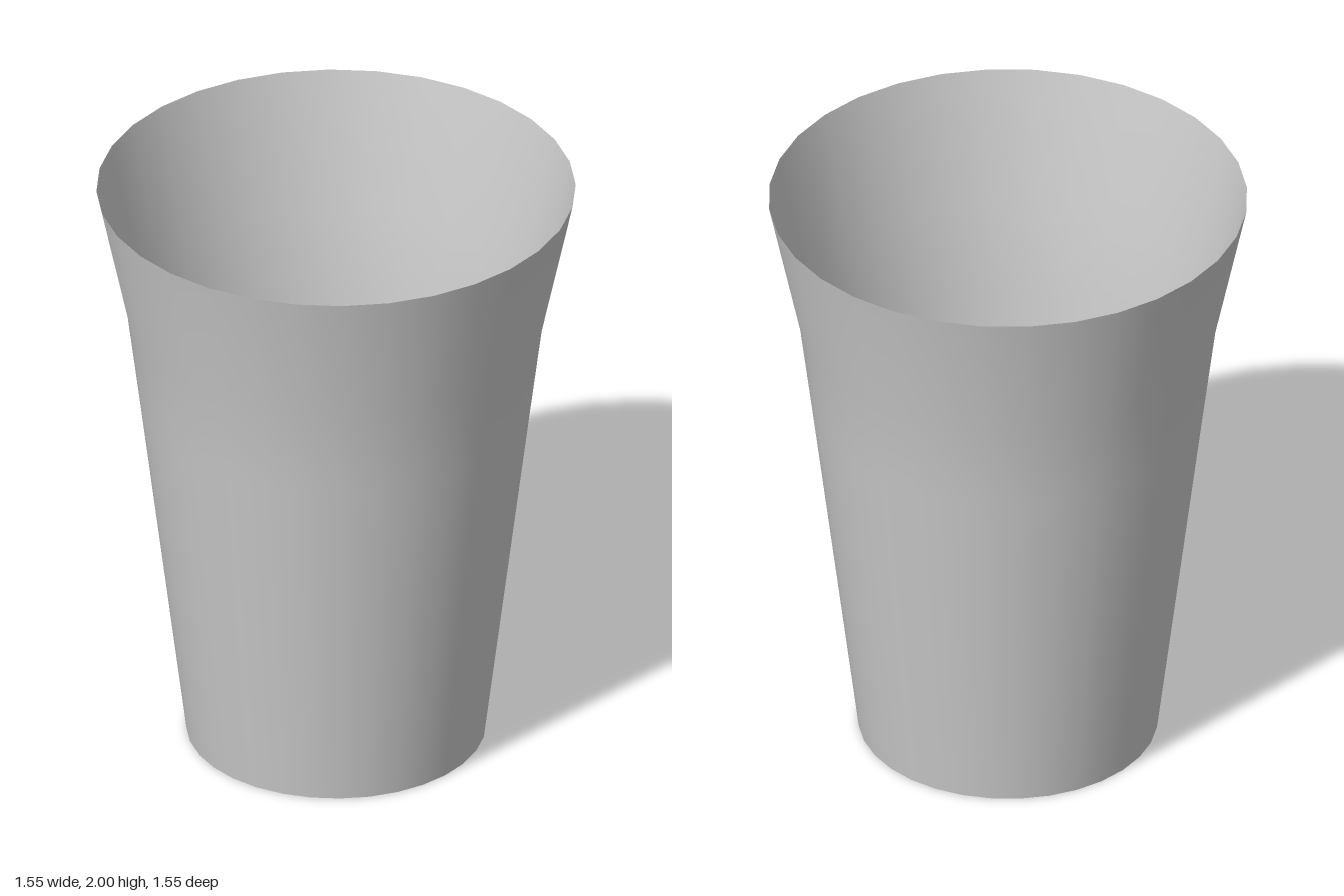
import * as THREE from 'three';

export function createModel() {
  const group = new THREE.Group();
  group.name = 'cup';

  // Thin open sleeve: tapered body with a wider flare towards the rim
  const profile = [
    [0.486, 0],
    [0.638, 1.23],
    [0.676, 1.53],
    [0.777, 2],
  ].map(([r, y]) => new THREE.Vector2(r, y));

  const wall = new THREE.Mesh(
    new THREE.LatheGeometry(profile, 32),
    new THREE.MeshStandardMaterial({ color: 0xcccccc, side: THREE.DoubleSide })
  );
  wall.name = 'flaredWall';
  group.add(wall);

  return group;
}
